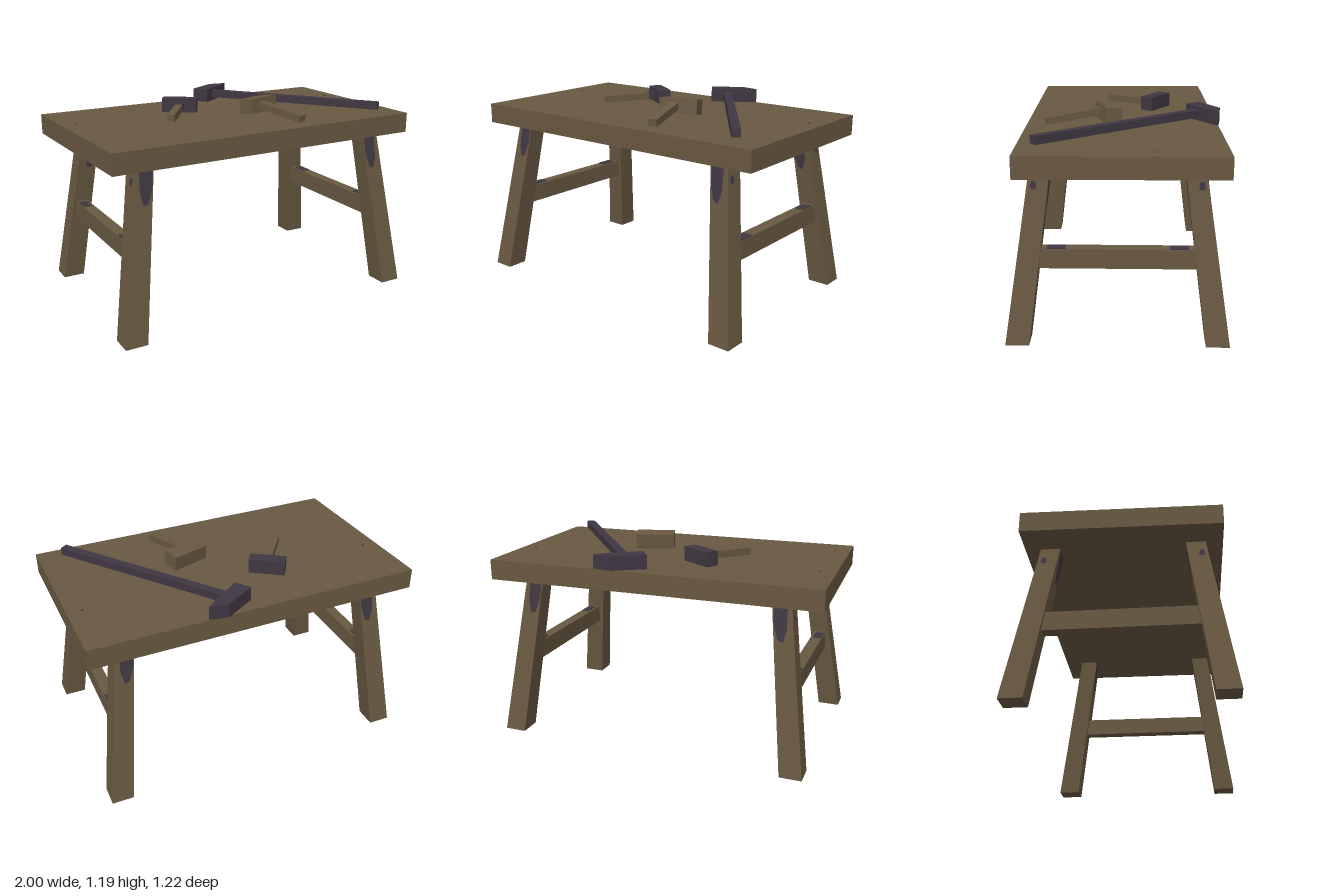
import * as THREE from 'three';

const wood = new THREE.MeshStandardMaterial({ color: 0x685841, side: THREE.DoubleSide });
wood.name = 'brown wood';
const iron = new THREE.MeshStandardMaterial({ color: 0x3f3742, side: THREE.DoubleSide });
iron.name = 'dark iron';

function add(parent, name, geometry, material) {
  const mesh = new THREE.Mesh(geometry, material);
  mesh.name = name;
  parent.add(mesh);
  return mesh;
}

// Moves every vertex of a geometry by a rule, then refreshes its flat normals
function bend(geometry, rule) {
  const p = geometry.attributes.position;
  for (let i = 0; i < p.count; i++) p.setXYZ(i, ...rule(p.getX(i), p.getY(i), p.getZ(i)));
  geometry.computeVertexNormals();
  return geometry;
}

// Square bar between two points
function beam(parent, name, from, to, width, height, material) {
  const a = new THREE.Vector3(...from), b = new THREE.Vector3(...to);
  const mesh = add(parent, name, new THREE.BoxGeometry(width, height, a.distanceTo(b)), material);
  mesh.position.copy(a).lerp(b, 0.5);
  mesh.lookAt(b);
  return mesh;
}

const polygon = (points) =>
  new THREE.ShapeGeometry(new THREE.Shape(points.map(([x, y]) => new THREE.Vector2(x, y))));

function createLeg(parent, sx, sz) {
  const leg = new THREE.Group();
  leg.name = `${sz > 0 ? 'front' : 'back'}${sx > 0 ? 'Left' : 'Right'}Leg`;
  parent.add(leg);
  const footX = sx < 0 && sz > 0 ? 0.895 : 0.878;
  // u and w run from -1 (inner) to 1 (outer) across the splayed, tapering leg
  const at = (u, y, w) => {
    const t = y / 0.96;
    const half = 0.065 - 0.01 * t;
    return [
      sx * (footX + (0.757 - footX) * t + u * half),
      y,
      sz * (0.545 - 0.135 * t + w * half),
    ];
  };
  const post = new THREE.BoxGeometry(2, 0.97, 2).translate(0, 0.485, 0);
  add(leg, 'legPost', bend(post, (x, y, z) => at(sx * x, y, sz * z)), wood);

  // Worn iron straps on the front and back faces
  const strap = [[0.6, 0.96], [-0.8, 0.96], [-0.95, 0.85], [-0.6, 0.76], [-0.1, 0.75], [0.35, 0.82]];
  for (const w of [-1.04, 1.04]) {
    add(leg, 'ironStrap', bend(polygon(strap), (u, y) => at(u, y, w)), iron);
  }
  // Small bolt plate on the outer side
  const bolt = [[0.1, 0.86], [0.5, 0.855], [0.68, 0.875], [0.6, 0.9], [0.25, 0.9], [0.08, 0.88]];
  add(leg, 'boltPlate', bend(polygon(bolt), (w, y) => at(1.04, y, w)), iron);
}

export function createModel() {
  const model = new THREE.Group();
  model.name = 'workTable';

  // Slightly crooked tabletop
  const corners = { '-1,-1': [-1, -0.55], '1,-1': [0.985, -0.58], '-1,1': [-0.975, 0.565], '1,1': [0.995, 0.53] };
  const slab = bend(new THREE.BoxGeometry(2, 0.12, 2), (x, y, z) => {
    const [cx, cz] = corners[`${Math.sign(x)},${Math.sign(z)}`];
    return [cx, 1.02 + y, cz];
  });
  add(model, 'tabletop', slab, wood);
  for (const [x, z] of [[-0.9, -0.17], [0.9, -0.2]]) {
    add(model, 'nail', new THREE.BoxGeometry(0.01, 0.004, 0.015), iron).position.set(x, 1.081, z);
  }

  // Legs and side stretchers
  for (const sx of [-1, 1]) {
    for (const sz of [-1, 1]) createLeg(model, sx, sz);
    add(model, 'stretcher', new THREE.BoxGeometry(0.07, 0.11, 0.9), wood).position.set(sx * 0.82, 0.475, 0);
    for (const sz of [-1, 1]) {
      add(model, 'stretcherPlate', new THREE.BoxGeometry(0.05, 0.006, 0.1), iron)
        .position.set(sx * 0.825, 0.532, sz * 0.33);
    }
  }

  // Small hammer
  const hammer = new THREE.Group();
  hammer.name = 'hammer';
  model.add(hammer);
  beam(hammer, 'hammerHead', [-0.3, 1.122, -0.275], [-0.122, 1.122, -0.157], 0.08, 0.085, iron);
  beam(hammer, 'hammerHandle', [-0.22, 1.12, -0.19], [-0.415, 1.108, 0.08], 0.045, 0.042, wood);
  beam(hammer, 'hammerCollar', [-0.225, 1.12, -0.185], [-0.25, 1.118, -0.145], 0.05, 0.048, iron);

  // Wooden mallet, leaning down toward its handle
  const mallet = new THREE.Group();
  mallet.name = 'mallet';
  model.add(mallet);
  const block = beam(mallet, 'malletHead', [0.078, 1.135, 0.106], [0.302, 1.135, 0.034], 0.1, 0.09, wood);
  block.rotateZ(-0.12);
  beam(mallet, 'malletHandle', [0.175, 1.145, 0.1], [0.273, 1.1, 0.43], 0.055, 0.042, wood);

  // Long sledgehammer with a wedge-ended head
  const sledge = new THREE.Group();
  sledge.name = 'sledgehammer';
  model.add(sledge);
  beam(sledge, 'sledgeShaft', [0.15, 1.125, -0.47], [0.838, 1.125, 0.437], 0.05, 0.045, iron);
  const outline = [[0.02, 0.475], [0.08, 0.395], [0.235, 0.505], [0.31, 0.568], [0.2, 0.585]];
  const head = new THREE.ExtrudeGeometry(
    new THREE.Shape(outline.map(([x, y]) => new THREE.Vector2(x, y))),
    { depth: 0.083, bevelEnabled: false },
  );
  head.rotateX(-Math.PI / 2).translate(0, 1.082, 0);
  add(sledge, 'sledgeHead', head, iron);

  return model;
}
